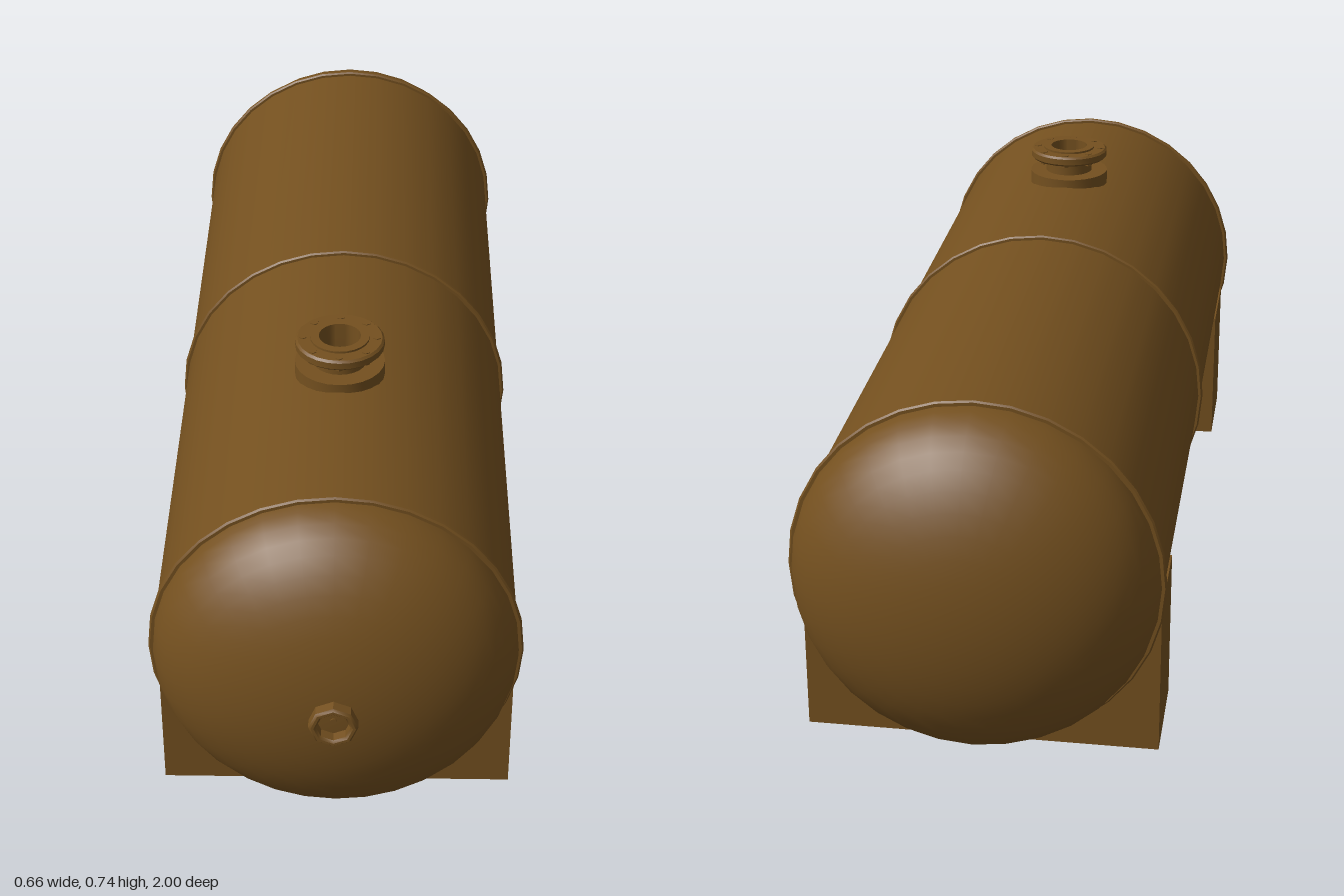
import * as THREE from 'three';
import { toCreasedNormals } from 'three/addons/utils/BufferGeometryUtils.js';

const R = 0.32, AXIS_Y = 0.35, SIDES = 32;
const FRONT = 0.79, BACK = -0.81, DOME = 0.19;

export function createModel() {
  const model = new THREE.Group();
  model.name = 'storageTank';
  const material = new THREE.MeshStandardMaterial({ color: 0x74501f, side: THREE.DoubleSide });

  const add = (parent, name, geometry, x = 0, y = 0, z = 0) => {
    const mesh = new THREE.Mesh(geometry, material);
    mesh.name = name;
    mesh.position.set(x, y, z);
    parent.add(mesh);
    return mesh;
  };
  // Revolve [radius, height] pairs around y, keeping hard edges sharp
  const lathe = (points, sides, crease = 0.6) => toCreasedNormals(
    new THREE.LatheGeometry(points.map(([r, h]) => new THREE.Vector2(r, h)), sides), crease);

  // Vessel: everything revolved about the long axis (local y becomes z)
  const vessel = new THREE.Group();
  vessel.name = 'vessel';
  vessel.position.y = AXIS_Y;
  vessel.rotation.x = Math.PI / 2;
  model.add(vessel);

  add(vessel, 'shell', new THREE.CylinderGeometry(R, R, FRONT - BACK, SIDES, 1, true), 0, (FRONT + BACK) / 2, 0);

  // Elliptical end caps
  for (const [name, base, dir] of [['frontHead', FRONT, 1], ['backHead', BACK, -1]]) {
    const head = new THREE.SphereGeometry(R, SIDES, 12, 0, Math.PI * 2, 0, Math.PI / 2);
    head.scale(1, DOME / R, 1);
    if (dir < 0) head.rotateX(Math.PI);
    add(vessel, name, head, 0, base, 0);
  }

  // Weld bands at both heads and mid-shell
  const band = lathe([[R - 0.005, -0.006], [R + 0.005, -0.006], [R + 0.008, -0.003],
    [R + 0.008, 0.003], [R + 0.005, 0.006], [R - 0.005, 0.006]], SIDES);
  for (const z of [FRONT, (FRONT + BACK) / 2, BACK]) add(vessel, 'weldBand', band, 0, z, 0);

  // Octagonal hollow coupling on the front head
  add(vessel, 'endCoupling', lathe([[0.042, 0.955], [0.042, 0.996], [0.038, 1], [0.033, 1],
    [0.029, 0.996], [0.029, 0.965]], 8));
  add(vessel, 'couplingCentre', new THREE.CylinderGeometry(0.006, 0.006, 0.006, 8), 0, 0.979, 0);

  // Saddle blocks
  for (const [name, z] of [['frontSaddle', 0.66], ['backSaddle', -0.673]])
    add(model, name, new THREE.BoxGeometry(0.634, 0.285, 0.197), 0, 0.1425, z);

  // Flanged nozzle on top
  const nozzle = new THREE.Group();
  nozzle.name = 'topNozzle';
  nozzle.position.set(0, 0, 0.393);
  model.add(nozzle);
  add(nozzle, 'reinforcingPad', lathe([[0.082, 0.65], [0.082, 0.686], [0.04, 0.686]], 24));
  add(nozzle, 'neck', lathe([[0.049, 0.68], [0.049, 0.718]], 24));
  add(nozzle, 'flange', lathe([[0.049, 0.715], [0.077, 0.715], [0.081, 0.719], [0.081, 0.731],
    [0.077, 0.735], [0.054, 0.735], [0.054, 0.739], [0.038, 0.739], [0.038, 0.66]], 24));
  add(nozzle, 'boreFloor', new THREE.CylinderGeometry(0.038, 0.038, 0.004, 24), 0, 0.672, 0);
  // Hex bolts through the flange
  const bolt = new THREE.CylinderGeometry(0.008, 0.008, 0.026, 6).toNonIndexed();
  bolt.computeVertexNormals();
  for (let i = 0; i < 8; i++) {
    const a = (i / 8) * Math.PI * 2;
    add(nozzle, 'flangeBolt', bolt, 0.067 * Math.cos(a), 0.7235, 0.067 * Math.sin(a));
  }
  return model;
}
